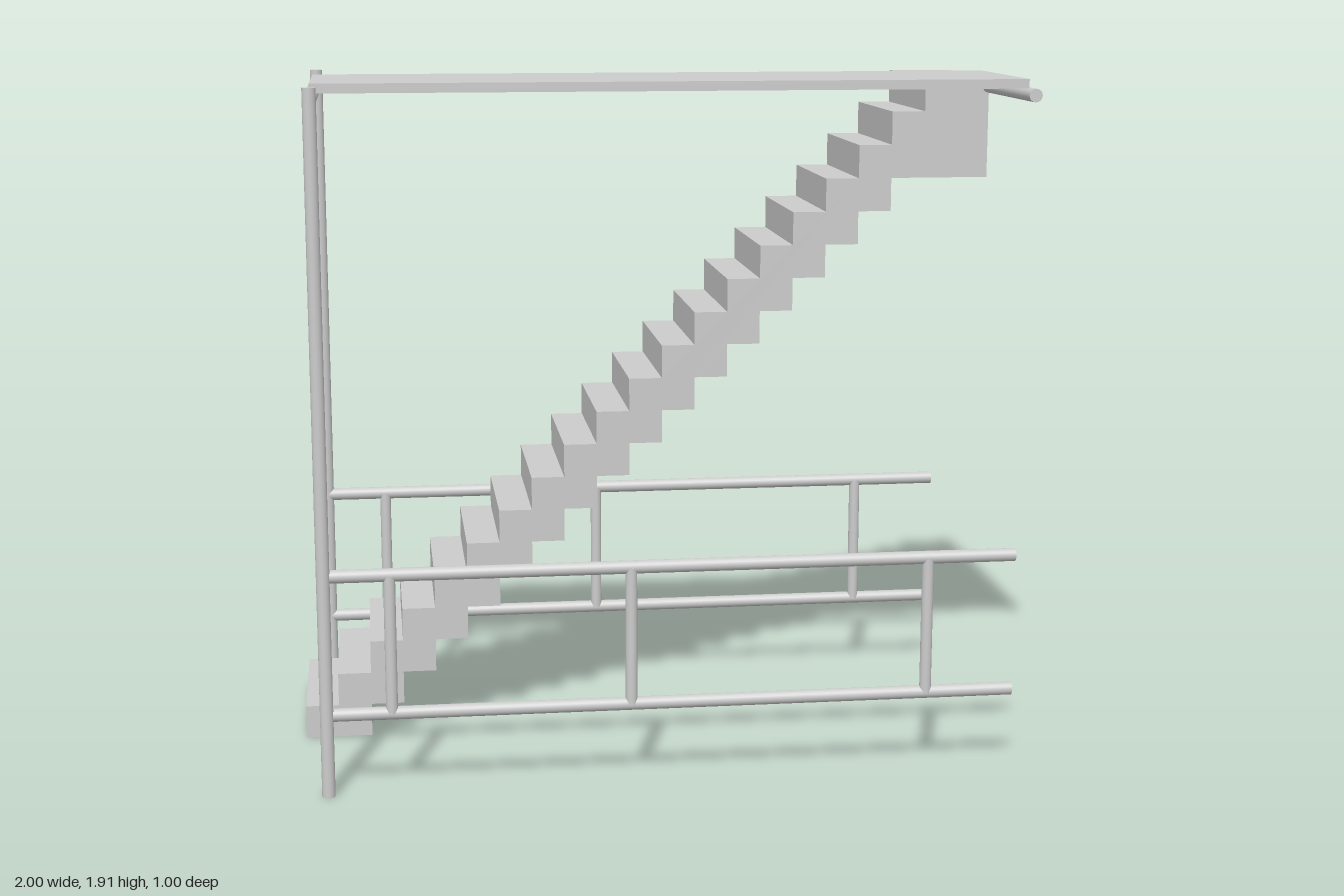
import * as THREE from 'three';

const material = new THREE.MeshStandardMaterial({ color: 0xcccccc });

// Round bar between two points
function bar(name, a, b, radius) {
  const from = new THREE.Vector3(...a), to = new THREE.Vector3(...b);
  const dir = to.clone().sub(from);
  const mesh = new THREE.Mesh(new THREE.CylinderGeometry(radius, radius, dir.length(), 24), material);
  mesh.name = name;
  mesh.position.copy(from).add(to).multiplyScalar(0.5);
  mesh.quaternion.setFromUnitVectors(new THREE.Vector3(0, 1, 0), dir.normalize());
  return mesh;
}

// Solid stepped flight, extruded across its width
function createStairs() {
  const steps = 20, size = 0.0945, end = 0.98, zBack = -0.45, zFront = 0.005;
  const shape = new THREE.Shape();
  shape.moveTo(-1, 0);
  for (let i = 0; i < steps; i++) {
    const x = -1 + size * i;
    shape.lineTo(x, size * (i + 1));
    shape.lineTo(i === steps - 1 ? end : x + size, size * (i + 1));
  }
  // Underside: deep top landing, then steps back down
  shape.lineTo(end, size * 17);
  for (let k = 17; k >= 1; k--) {
    const x = -1 + size * (k + 1);
    shape.lineTo(x, size * k);
    shape.lineTo(x, size * (k - 1));
  }
  shape.closePath();
  const geometry = new THREE.ExtrudeGeometry(shape, { depth: zFront - zBack, bevelEnabled: false });
  const mesh = new THREE.Mesh(geometry, material);
  mesh.name = 'stairs';
  mesh.position.z = zBack;
  return mesh;
}

// Guard rail with a corner post, two rails and three balusters
function createRailing(name, postZ, railZ, balusterZ) {
  const railing = new THREE.Group();
  railing.name = name;
  const postX = -0.93, railEnd = 0.96, low = 0.225, high = 0.61;
  railing.add(bar('cornerPost', [postX, 0, postZ], [postX, 1.9, postZ], 0.018));
  railing.add(bar('lowerRail', [postX, low, railZ], [railEnd, low, railZ], 0.018));
  railing.add(bar('upperRail', [postX, high, railZ], [railEnd, high, railZ], 0.018));
  for (const x of [-0.755, -0.105, 0.715]) {
    railing.add(bar('baluster', [x, low, balusterZ], [x, high, balusterZ], 0.016));
  }
  return railing;
}

export function createModel() {
  const model = new THREE.Group();
  model.name = 'stairsWithPlatform';

  model.add(createStairs());
  model.add(createRailing('frontRailing', 0.485, 0.474, 0.478));
  model.add(createRailing('backRailing', -0.479, -0.479, -0.474));

  // Upper platform resting on two cross bars
  const platform = new THREE.Mesh(new THREE.BoxGeometry(1.89, 0.025, 0.48), material);
  platform.name = 'platform';
  platform.position.set(0.015, 1.8965, 0.23);
  model.add(platform);
  model.add(bar('leftCrossBar', [0.98, 1.865, -0.479], [0.98, 1.865, 0.467], 0.018));
  model.add(bar('rightCrossBar', [-0.93, 1.865, -0.479], [-0.93, 1.865, 0.485], 0.018));

  return model;
}
